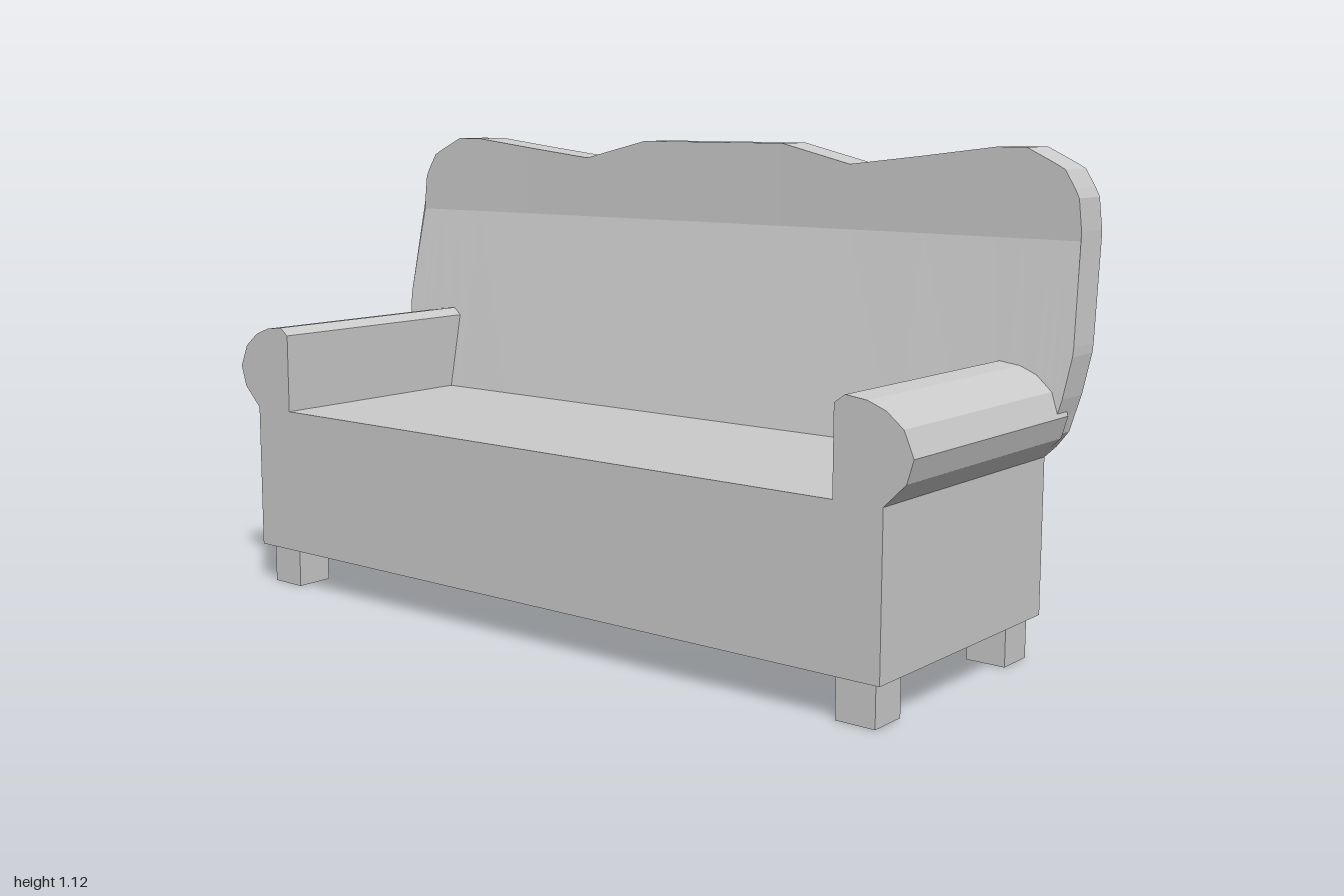
import * as THREE from 'three';

const material = new THREE.MeshStandardMaterial({ color: 0xcccccc, flatShading: true });
const SEAT_Y = 0.45, BEND_Y = 0.92;
const FRONT_Z = 0.38, REAR_Z = -0.275;

function addMesh(group, name, geometry, x = 0, y = 0, z = 0) {
  const mesh = new THREE.Mesh(geometry, material);
  mesh.name = name;
  mesh.position.set(x, y, z);
  group.add(mesh);
  return mesh;
}

// Rolled arm: a profile extruded from front to back; side is +1 or -1
function armGeometry(side) {
  const profile = [
    [0.805, 0.45], [0.92, 0.45], [0.97, 0.5], [0.985, 0.55], [0.962, 0.604],
    [0.922, 0.636], [0.88, 0.652], [0.83, 0.658], [0.805, 0.64],
  ];
  const shape = new THREE.Shape(profile.map(([x, y]) => new THREE.Vector2(x * side, y)));
  const rear = -0.25;
  return new THREE.ExtrudeGeometry(shape, { depth: FRONT_Z - rear, bevelEnabled: false })
    .translate(0, 0, rear);
}

// Backrest: upright sections lofted across x, leaning back up to the bend and slightly bowed
function backrestGeometry() {
  // x, bottom y, top y for one half
  const half = [
    [0, 0.45, 1.115], [0.21, 0.45, 1.115], [0.4, 0.45, 1.07], [0.6, 0.45, 1.093],
    [0.78, 0.45, 1.115], [0.853, 0.45, 1.115], [0.92, 0.45, 1.083], [0.945, 0.475, 1.07],
    [0.97, 0.51, 1.03], [0.98, 0.555, 1.01], [0.988, 0.59, 0.94], [1, 0.68, 0.7],
  ];
  const columns = [...half.slice(1).reverse().map(([x, b, t]) => [-x, b, t]), ...half];

  const point = (x, y, isRear) => {
    const lean = Math.min(1, (y - SEAT_Y) / (BEND_Y - SEAT_Y));
    const bow = 0.013 * (1 - x * x);
    const z = isRear ? REAR_Z - lean * (0.097 + bow) : -0.185 - lean * (0.09 + bow);
    return new THREE.Vector3(x, y, z);
  };
  const sections = columns.map(([x, bottom, top]) => {
    const mid = THREE.MathUtils.clamp(BEND_Y, bottom, top);
    return [
      point(x, bottom, false), point(x, bottom, true), point(x, mid, true),
      point(x, top, true), point(x, top, false), point(x, mid, false),
    ];
  });

  const points = [];
  const addTriangle = (a, b, c) => {
    if (new THREE.Triangle(a, b, c).getArea() > 1e-8) points.push(a, b, c);
  };
  const addQuad = (a, b, c, d) => {
    addTriangle(a, b, c);
    addTriangle(a, c, d);
  };
  for (let i = 0; i < sections.length - 1; i++) {
    const p = sections[i], q = sections[i + 1];
    for (let j = 0; j < 6; j++) {
      const k = (j + 1) % 6;
      addQuad(p[j], p[k], q[k], q[j]);
    }
  }
  // Narrow end faces
  const first = sections[0], last = sections[sections.length - 1];
  addQuad(last[0], last[1], last[3], last[4]);
  addQuad(first[4], first[3], first[1], first[0]);

  const geometry = new THREE.BufferGeometry().setFromPoints(points);
  geometry.computeVertexNormals();
  return geometry;
}

export function createModel() {
  const sofa = new THREE.Group();
  sofa.name = 'sofa';

  // Seat base
  addMesh(sofa, 'seatBase', new THREE.BoxGeometry(1.84, SEAT_Y - 0.097, FRONT_Z - REAR_Z),
    0, (SEAT_Y + 0.097) / 2, (FRONT_Z + REAR_Z) / 2);

  addMesh(sofa, 'backrest', backrestGeometry());

  // Arms and legs, mirrored left and right
  const legGeometry = new THREE.BoxGeometry(0.093, 0.097, 0.093);
  for (const [label, side] of [['left', 1], ['right', -1]]) {
    addMesh(sofa, label + 'Arm', armGeometry(side));
    addMesh(sofa, label + 'FrontLeg', legGeometry, side * 0.852, 0.0485, 0.312);
    addMesh(sofa, label + 'RearLeg', legGeometry, side * 0.852, 0.0485, -0.21);
  }
  return sofa;
}
